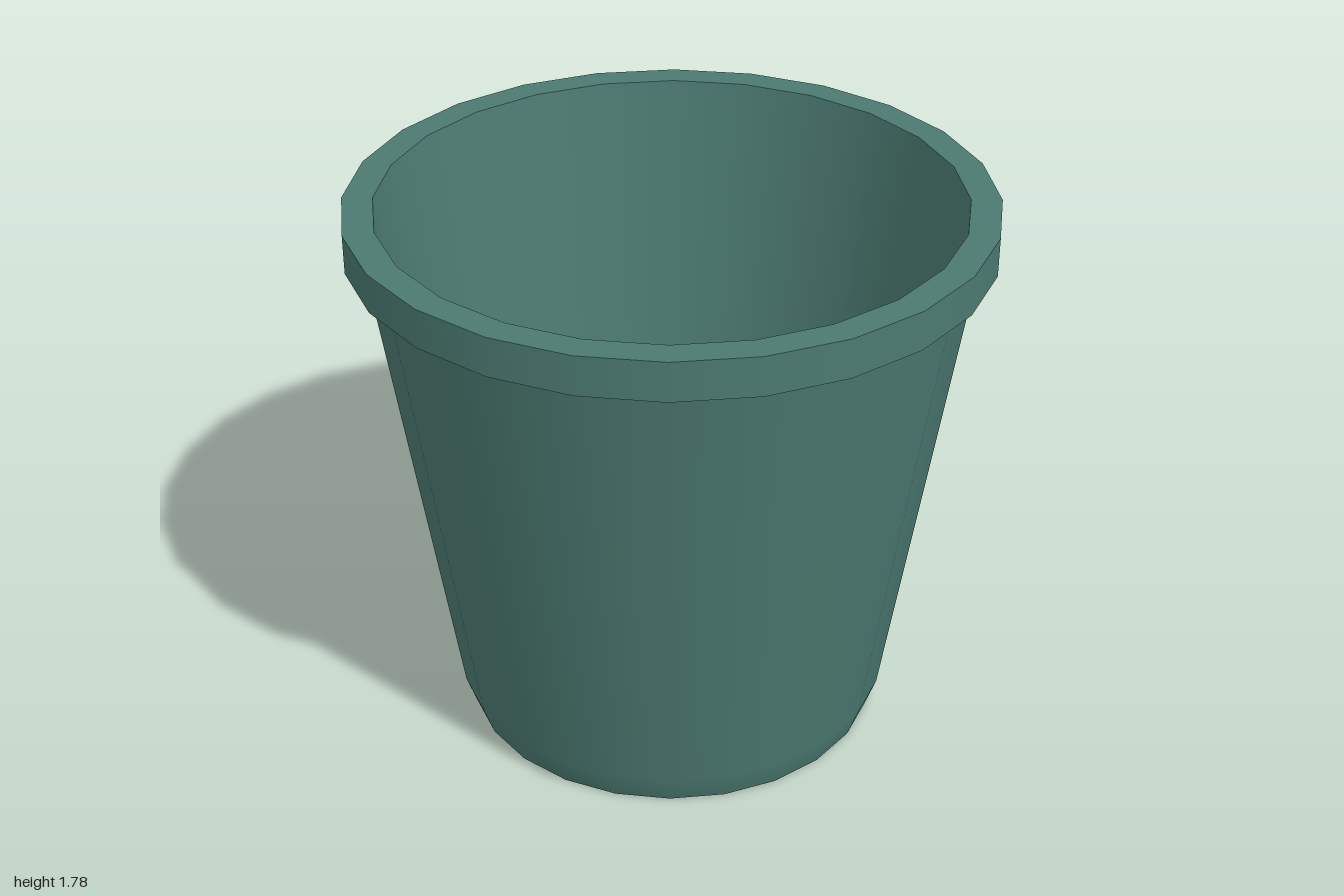
import * as THREE from 'three';

const SIDES = 24;

export function createModel() {
  const pot = new THREE.Group();
  pot.name = 'plantPot';
  const green = new THREE.MeshStandardMaterial({ color: 0x4b7a71 });
  green.name = 'mutedGreen';

  const add = (name, geometry) => {
    const mesh = new THREE.Mesh(geometry, green);
    mesh.name = name;
    pot.add(mesh);
    return mesh;
  };

  // Smooth bands of the profile, split where the edges are sharp
  const band = (name, ...points) =>
    add(name, new THREE.LatheGeometry(points.map(([r, y]) => new THREE.Vector2(r, y)), SIDES));

  band('outerWall', [0.67, 0], [0.705, 0.1], [0.935, 1.62]);
  band('rimUnderside', [0.935, 1.62], [1, 1.655]);
  band('rimSide', [1, 1.655], [1, 1.78]);
  band('rimTop', [1, 1.78], [0.905, 1.78]);
  band('innerWall', [0.905, 1.78], [0.635, 0.04]);

  // Inside floor and underside
  const disc = (name, radius, y, facing) => {
    const geometry = new THREE.CircleGeometry(radius, SIDES);
    geometry.rotateX(-facing * Math.PI / 2);
    add(name, geometry).position.y = y;
  };
  disc('innerFloor', 0.635, 0.04, 1);
  disc('base', 0.67, 0, -1);

  return pot;
}
